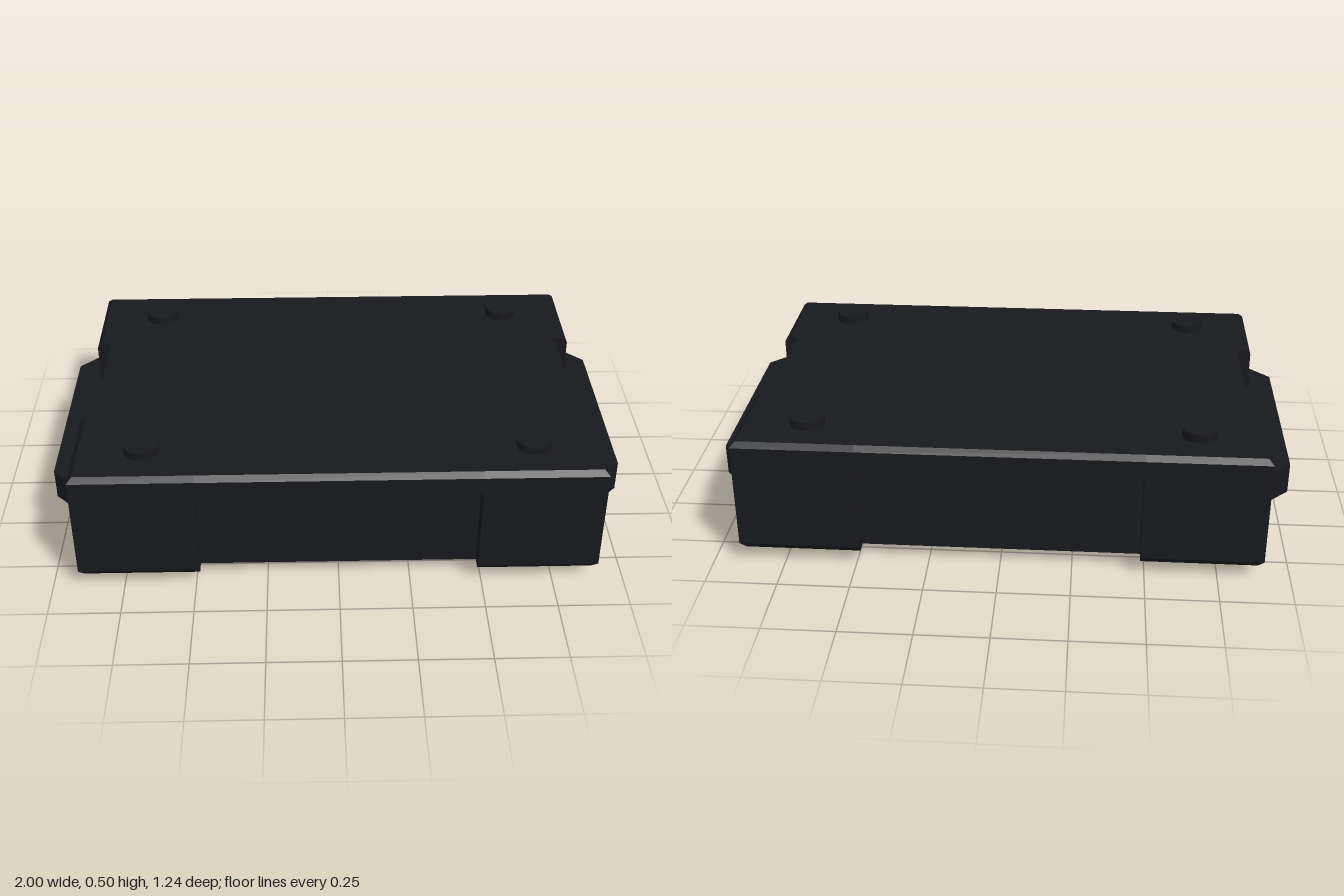
import * as THREE from 'three';

const material = new THREE.MeshStandardMaterial({ color: 0x18191d, flatShading: true });

// Plan of the case: a rectangle with a notch in the middle of every side,
// listed counter-clockwise as [x, -z].
function plan(X, Z, sideX, frontZ) {
  const w = 0.485, d = 0.25;
  const half = [
    [sideX, -d], [sideX, d], [X, d], [X, Z], [w, Z],
    [w, frontZ], [-w, frontZ], [-w, Z], [-X, Z], [-X, d],
  ];
  return [...half, ...half.map(([x, z]) => [-x, -z])];
}

// Skins a stack of plans, then closes the top and bottom.
function loft(layers) {
  const positions = [];
  const rings = layers.map(([y, ...sizes]) => plan(...sizes).map(([x, z]) => [x, y, -z]));
  const triangle = (a, b, c) => positions.push(...a, ...b, ...c);
  for (let i = 0; i + 1 < rings.length; i++) {
    const low = rings[i], high = rings[i + 1], n = low.length;
    for (let j = 0; j < n; j++) {
      const k = (j + 1) % n;
      triangle(low[j], low[k], high[k]);
      triangle(low[j], high[k], high[j]);
    }
  }
  const cap = (ring, up) => {
    const outline = ring.map(([x, , z]) => new THREE.Vector2(x, -z));
    for (const [a, b, c] of THREE.ShapeUtils.triangulateShape(outline, [])) {
      if (up) triangle(ring[a], ring[b], ring[c]);
      else triangle(ring[a], ring[c], ring[b]);
    }
  };
  cap(rings[0], false);
  cap(rings[rings.length - 1], true);
  const geometry = new THREE.BufferGeometry();
  geometry.setAttribute('position', new THREE.Float32BufferAttribute(positions, 3));
  geometry.computeVertexNormals();
  return geometry;
}

export function createModel() {
  const group = new THREE.Group();
  const add = (name, geometry, x = 0, y = 0, z = 0, mat = material) => {
    const mesh = new THREE.Mesh(geometry, mat);
    mesh.name = name;
    mesh.position.set(x, y, z);
    group.add(mesh);
    return mesh;
  };
  const smooth = material.clone();
  smooth.flatShading = false;

  // Case with bevelled edges and overhanging recesses: [y, X, Z, sideX, frontZ]
  add('case', loft([
    [0.05, 0.885, 0.6, 0.8, 0.555],
    [0.075, 0.905, 0.62, 0.8, 0.555],
    [0.37, 0.905, 0.62, 0.8, 0.555],
    [0.39, 0.905, 0.62, 0.855, 0.62],
    [0.452, 0.905, 0.62, 0.855, 0.62],
    [0.47, 0.887, 0.602, 0.855, 0.602],
  ]));

  // Side rails with angled ends, and thin pads behind them
  const railShape = new THREE.Shape([
    [0.78, -0.25], [0.89, -0.25], [0.89, -0.43], [0.92, -0.43], [1, -0.35],
    [1, 0.35], [0.92, 0.43], [0.89, 0.43], [0.89, 0.25], [0.78, 0.25],
  ].map(([x, z]) => new THREE.Vector2(x, z)));
  const railGeometry = new THREE.ExtrudeGeometry(railShape, { depth: 0.11, bevelEnabled: false });
  railGeometry.rotateX(-Math.PI / 2);
  for (const side of [1, -1]) {
    const label = side > 0 ? 'left' : 'right';
    const rail = add(label + 'Rail', railGeometry, 0, 0.2, 0);
    if (side < 0) rail.rotation.y = Math.PI;
    for (const end of [1, -1]) {
      add(label + 'Pad', new THREE.BoxGeometry(0.02, 0.21, 0.23), side * 0.9, 0.255, end * 0.365);
    }
  }

  // Round studs near the top corners
  const studGeometry = new THREE.CylinderGeometry(0.06, 0.06, 0.05, 32);
  for (const x of [-0.67, 0.67]) {
    for (const z of [-0.455, 0.455]) add('stud', studGeometry, x, 0.475, z, smooth);
  }

  // Round boss under the case
  add('bottomBoss', new THREE.CylinderGeometry(0.175, 0.175, 0.07, 48), 0, 0.035, 0, smooth);

  return group;
}
